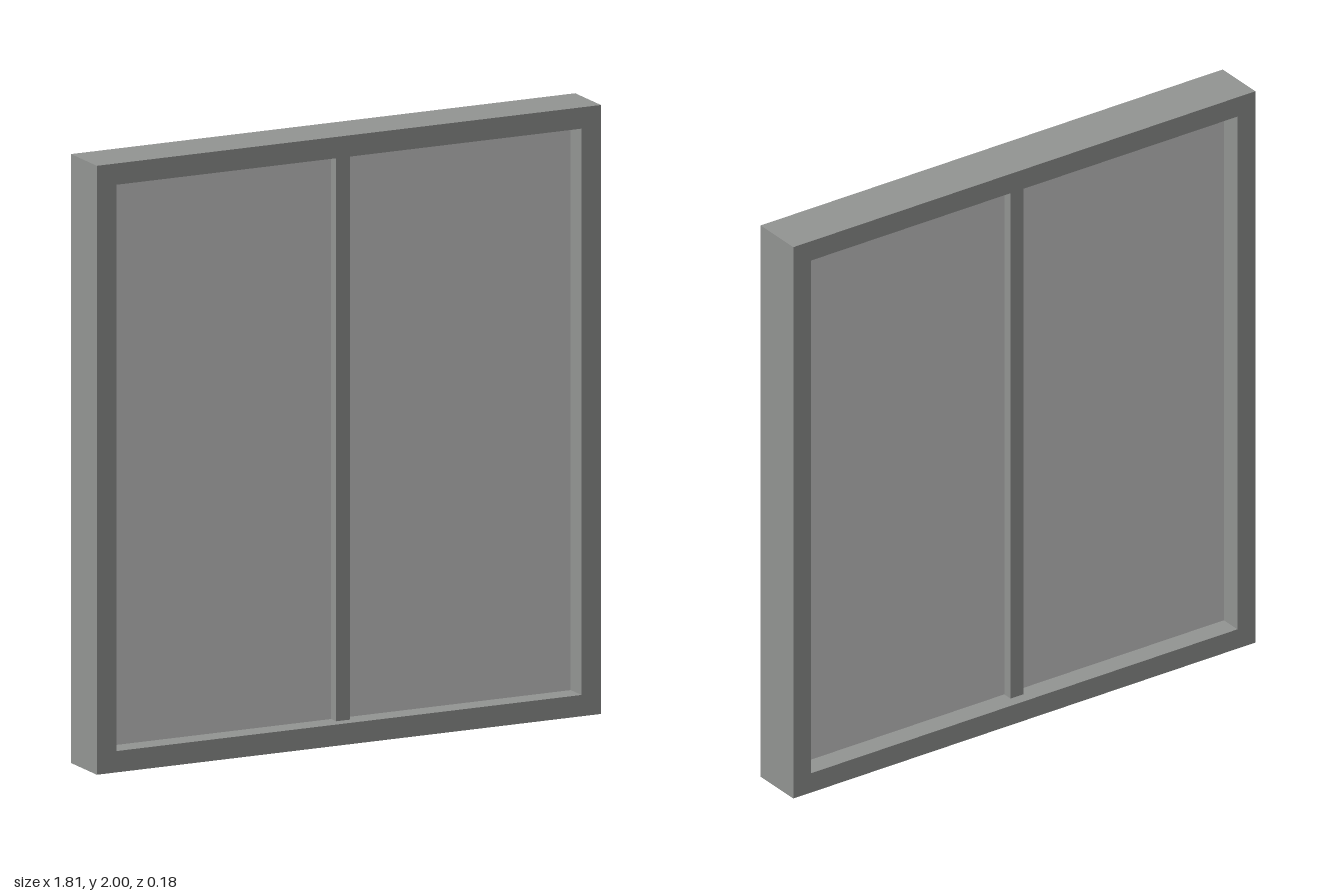
import * as THREE from 'three';

const W = 1.81, H = 2, D = 0.18, B = 0.07; // outer size and border width

export function createModel() {
  const group = new THREE.Group();
  const frameGrey = new THREE.MeshStandardMaterial({ color: 0x929492 });
  frameGrey.name = 'frameGrey';
  const paneGrey = new THREE.MeshStandardMaterial({ color: 0xc9c9c9 });
  paneGrey.name = 'paneGrey';

  const add = (name, geometry, material, x, y, z) => {
    const mesh = new THREE.Mesh(geometry, material);
    mesh.name = name;
    mesh.position.set(x, y, z);
    group.add(mesh);
  };
  const rect = (path, w, h) => path
    .moveTo(-w / 2, -h / 2).lineTo(w / 2, -h / 2)
    .lineTo(w / 2, h / 2).lineTo(-w / 2, h / 2).closePath();

  // Outer frame: a rectangle with one rectangular opening
  const outline = rect(new THREE.Shape(), W, H);
  outline.holes.push(rect(new THREE.Path(), W - 2 * B, H - 2 * B));
  const frame = new THREE.ExtrudeGeometry(outline, { depth: D, bevelEnabled: false });
  add('frame', frame, frameGrey, 0, H / 2, -D / 2);

  // Central upright, standing proud of the glass on both sides
  const openH = H - 2 * B;
  const barW = 0.05;
  add('mullion', new THREE.BoxGeometry(barW, openH, 0.1), frameGrey, 0, H / 2, 0);

  // One pane on each side of the upright
  const paneW = (W - 2 * B - barW) / 2;
  for (const [name, side] of [['leftPane', 1], ['rightPane', -1]]) {
    add(name, new THREE.BoxGeometry(paneW, openH, 0.03), paneGrey,
      side * (barW + paneW) / 2, H / 2, 0);
  }
  return group;
}
